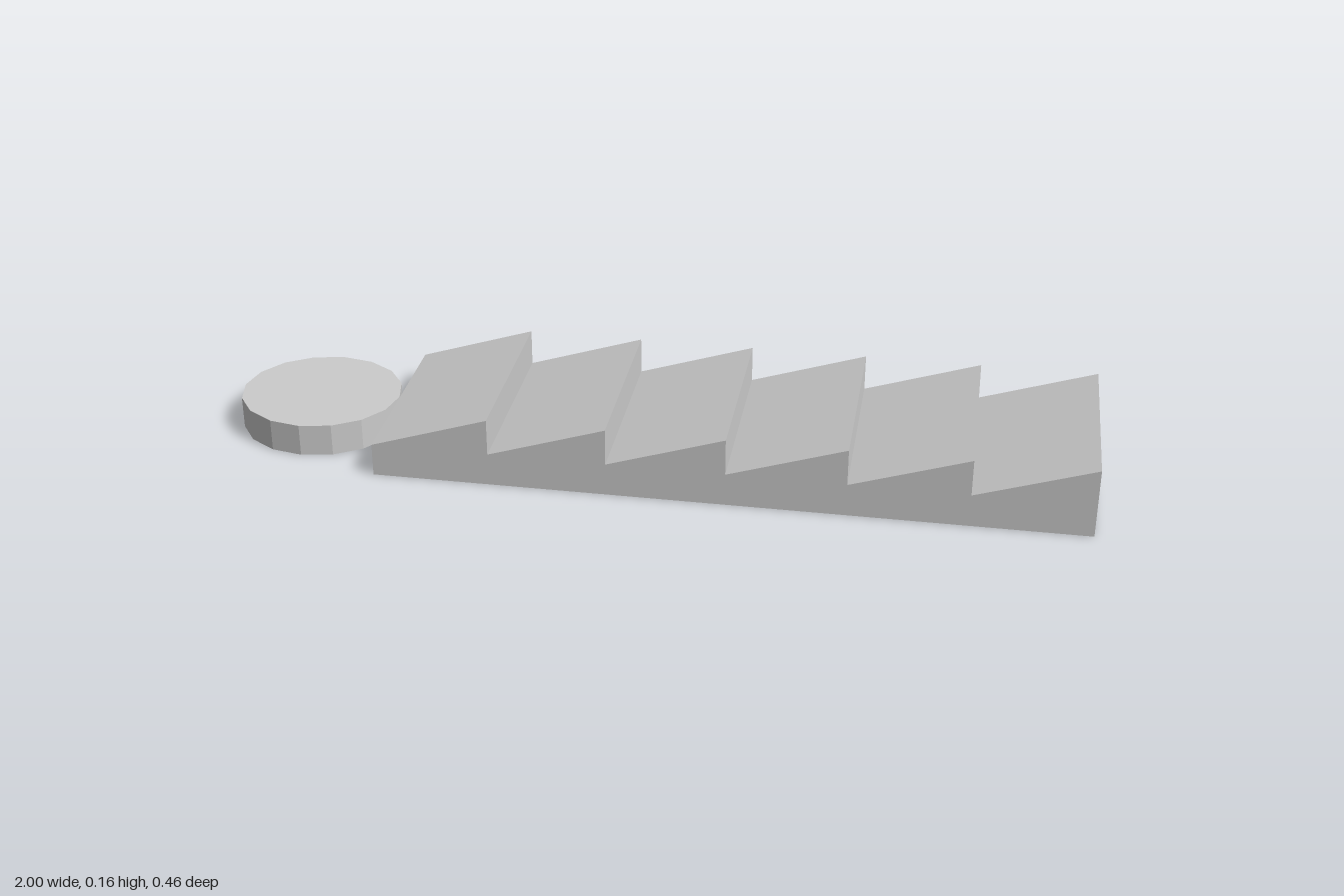
import * as THREE from 'three';

export function createModel() {
  const group = new THREE.Group();
  const material = new THREE.MeshStandardMaterial({ color: 0xcccccc, flatShading: true });

  // Sawtooth ramp: six sloped teeth on a flat base, extruded across the depth
  const teeth = 6, start = -0.618, end = 1, valley = 0.077, peak = 0.163, depth = 0.462;
  const pitch = (end - start) / teeth;
  const profile = new THREE.Shape();
  profile.moveTo(start, 0);
  profile.lineTo(end, 0);
  for (let i = teeth; i > 0; i--) {
    profile.lineTo(start + i * pitch, peak);
    profile.lineTo(start + (i - 1) * pitch, valley);
  }
  profile.closePath();
  const rampGeometry = new THREE.ExtrudeGeometry(profile, { depth, bevelEnabled: false });
  rampGeometry.translate(0, 0, -depth / 2);
  const ramp = new THREE.Mesh(rampGeometry, material);
  ramp.name = 'sawtoothRamp';
  group.add(ramp);

  // Slightly oval 16-sided disc at the low end of the ramp
  const discHeight = 0.076;
  const discGeometry = new THREE.CylinderGeometry(1, 1, discHeight, 16);
  discGeometry.scale(0.19, 1, 0.179);
  const disc = new THREE.Mesh(discGeometry, material);
  disc.name = 'endDisc';
  disc.position.set(-0.81, discHeight / 2, -0.008);
  group.add(disc);

  return group;
}
